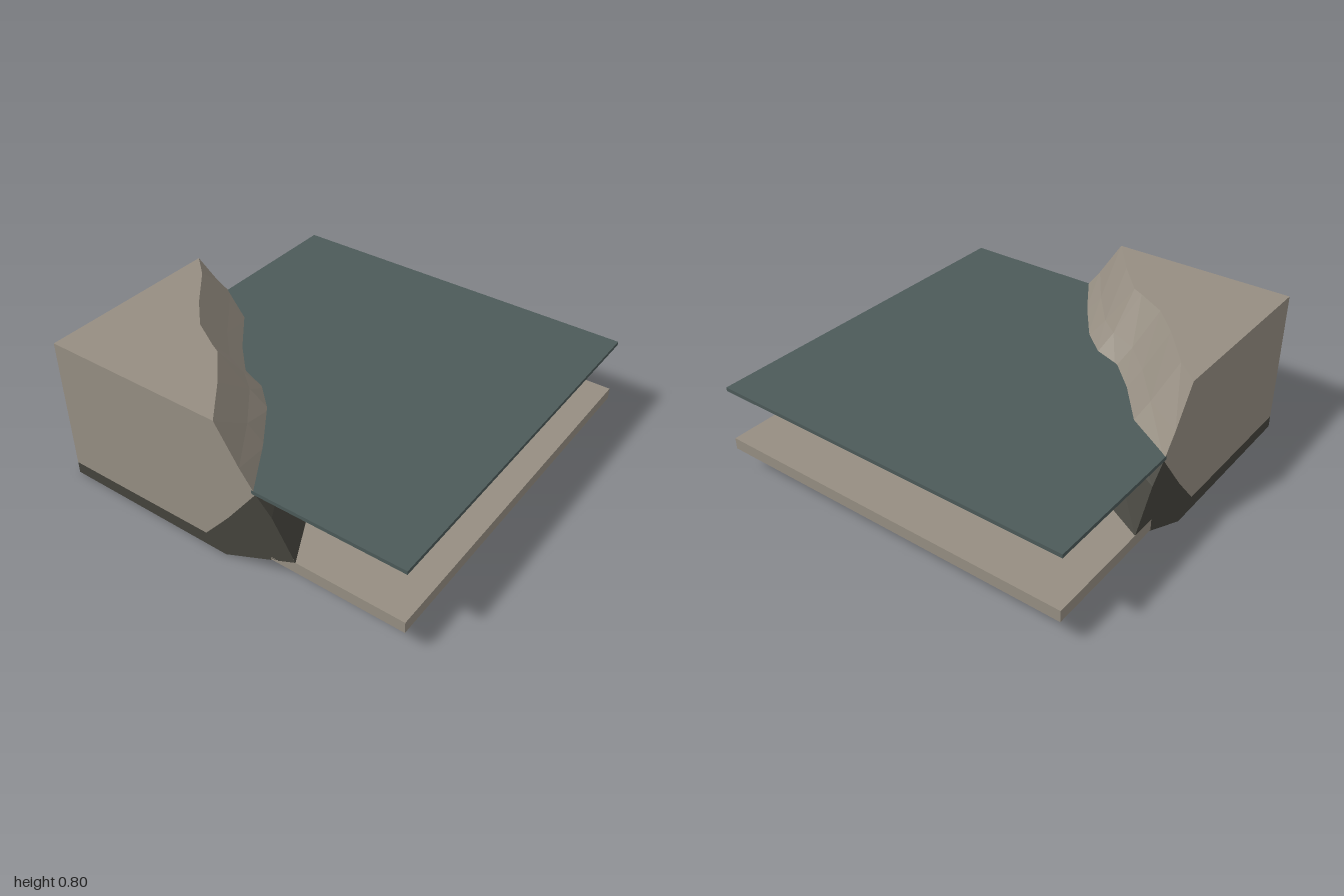
import * as THREE from 'three';

const rock = new THREE.MeshStandardMaterial({ name: 'dryRock', color: 0x968e82, flatShading: true, side: THREE.DoubleSide });
const wetRock = new THREE.MeshStandardMaterial({ name: 'wetRock', color: 0x44433c, flatShading: true, side: THREE.DoubleSide });
const water = new THREE.MeshStandardMaterial({ name: 'water', color: 0x4c5a59, flatShading: true });

// Cliff columns: plan position [x, z] at the rim and at the water line
const rim = [[-1, 0], [-0.78, -0.17], [-0.6, -0.33], [-0.57, -0.39], [-0.475, -0.555], [-0.325, -0.7], [-0.11, -0.875], [0, -1]];
const shore = [[-1, 0.205], [-0.72, 0.03], [-0.5, -0.13], [-0.385, -0.26], [-0.33, -0.41], [-0.18, -0.56], [0.04, -0.735], [0.205, -1]];

// Outward spread [height, multiple of rim-to-shore distance]
const dryLevels = [[0.8, 0], [0.6, 0.63], [0.49, 1.04]];
const wetLevels = [[0.49, 1.04], [0.4, 1.46], [0.2, 2.06], [0, 0]];

function cliffBand(levels) {
  const pos = [], index = [], n = rim.length;
  for (const [y, f] of levels) {
    rim.forEach(([x, z], i) => pos.push(x + (shore[i][0] - x) * f, y, z + (shore[i][1] - z) * f));
  }
  for (let r = 0; r < levels.length - 1; r++) {
    for (let i = 0; i < n - 1; i++) {
      const a = r * n + i, b = a + n;
      index.push(a, b, b + 1, a, b + 1, a + 1);
    }
  }
  const g = new THREE.BufferGeometry();
  g.setAttribute('position', new THREE.Float32BufferAttribute(pos, 3));
  g.setIndex(index);
  const flat = g.toNonIndexed();
  flat.computeVertexNormals();
  return flat;
}

const shapeOf = (points) => new THREE.Shape(points.map(([x, y]) => new THREE.Vector2(x, y)));

// Horizontal plate, its corner tucked just inside the bank walls
function plate(y0, y1, notch) {
  const e = -0.994;
  const plan = [[-1, 1], [1, 1], [1, -1], [notch, -1], [notch, e], [e, e], [e, notch], [-1, notch]];
  const g = new THREE.ExtrudeGeometry(shapeOf(plan.map(([x, z]) => [x, -z])), { depth: y1 - y0, bevelEnabled: false });
  return g.rotateX(-Math.PI / 2).translate(0, y0, 0);
}

export function createModel() {
  const model = new THREE.Group();
  model.name = 'riverbankTile';
  const add = (parent, name, geometry, material) => {
    const mesh = new THREE.Mesh(geometry, material);
    mesh.name = name;
    parent.add(mesh);
  };

  add(model, 'riverBed', plate(0.137, 0.2, 0.28), rock);
  add(model, 'waterSheet', plate(0.485, 0.505, 0.19), water);

  // Bank: flat top, faceted slope and two cut walls, open underneath
  const bank = new THREE.Group();
  bank.name = 'bank';
  model.add(bank);
  const top = new THREE.ShapeGeometry(shapeOf([...rim, [-1, -1]].map(([x, z]) => [x, -z])));
  add(bank, 'bankTop', top.rotateX(-Math.PI / 2).translate(0, 0.8, 0), rock);
  add(bank, 'drySlope', cliffBand(dryLevels), rock);
  add(bank, 'wetSlope', cliffBand(wetLevels), wetRock);

  // Cut walls: dry face with a wet margin along the lower edge
  const tide = [[0.213, 0.49], [0.036, 0.255], [-0.118, 0.073], [-1, 0.066]];
  const dryWall = [[-1, 0.8], [0, 0.8], [0.129, 0.6], ...tide];
  const wetWall = [[-1, 0], [0, 0], [0.422, 0.2], [0.3, 0.4], ...tide];
  for (const [name, outline, material] of [['dryWall', dryWall, rock], ['wetWall', wetWall, wetRock]]) {
    const back = new THREE.ShapeGeometry(shapeOf(outline.map(([x, y]) => [-x, y])));
    add(bank, name + 'Back', back.rotateY(Math.PI).translate(0, 0, -1), material);
    const side = new THREE.ShapeGeometry(shapeOf(outline));
    add(bank, name + 'Right', side.rotateY(-Math.PI / 2).translate(-1, 0, 0), material);
  }
  return model;
}
